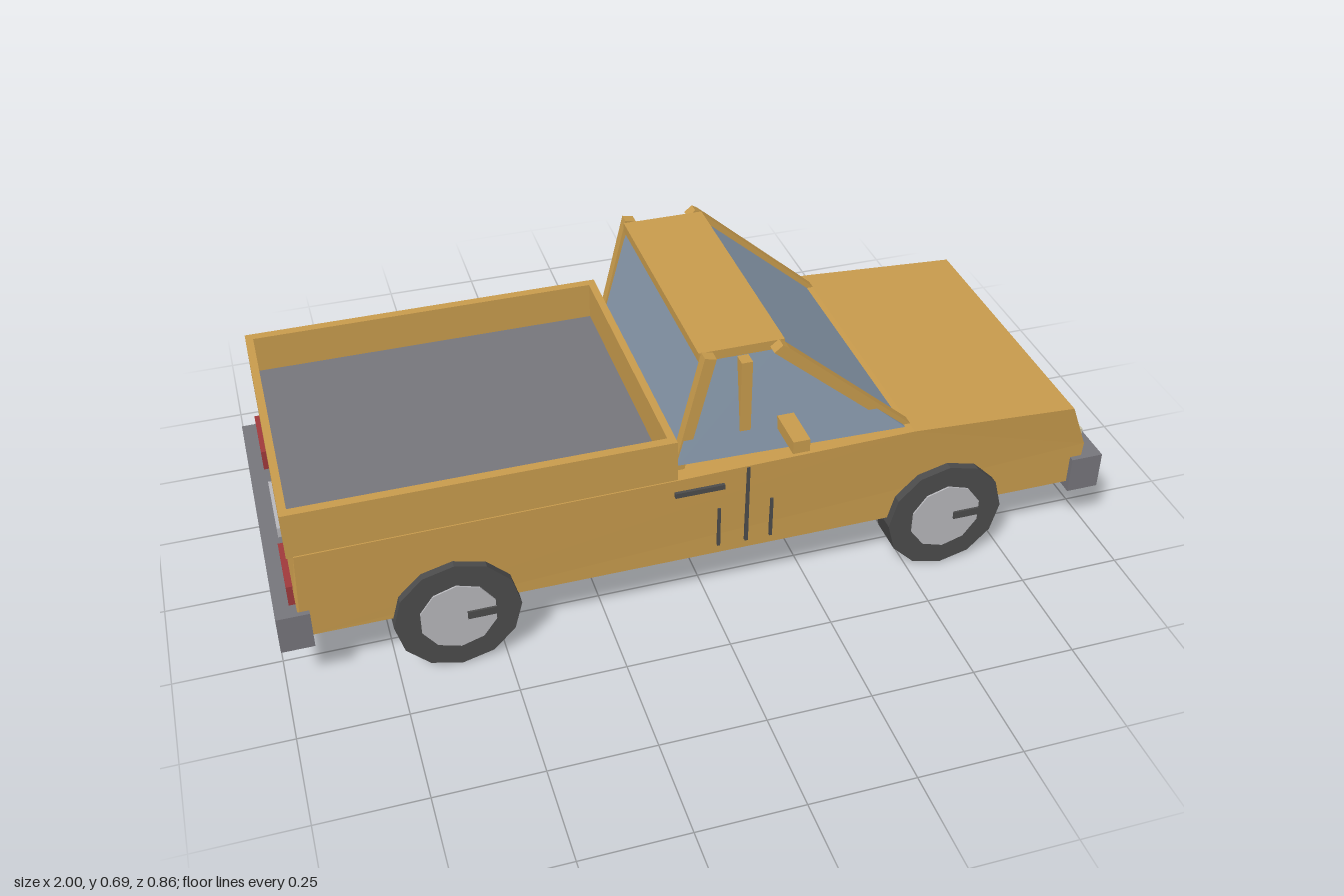
import * as THREE from 'three';

const mat = (name, color) => {
  const m = new THREE.MeshStandardMaterial({ color, flatShading: true });
  m.name = name;
  return m;
};

export function createModel() {
  const paint = mat('tan paint', 0xc99c4d);
  const glass = mat('blue glass', 0x8798aa);
  const grey = mat('bumper grey', 0x77767c);
  const dark = mat('dark rubber', 0x4c4c4c);
  const silver = mat('silver', 0xb8b8bc);
  const lamp = mat('headlight cream', 0xc6c0a5);
  const red = mat('taillight red', 0xa03a3c);

  const truck = new THREE.Group();
  truck.name = 'pickupTruck';

  const add = (name, geometry, material) => {
    const mesh = new THREE.Mesh(geometry, material);
    mesh.name = name;
    truck.add(mesh);
    return mesh;
  };
  // Box given by its lower and upper limits on each axis
  const box = (name, material, [x0, x1], [y0, y1], [z0, z1]) => {
    const g = new THREE.BoxGeometry(x1 - x0, y1 - y0, z1 - z0);
    g.translate((x0 + x1) / 2, (y0 + y1) / 2, (z0 + z1) / 2);
    return add(name, g, material);
  };
  // Same box on both sides of the truck
  const pair = (name, material, xs, ys, [z0, z1]) => {
    box(name, material, xs, ys, [z0, z1]);
    box(name, material, xs, ys, [-z1, -z0]);
  };
  // Side outline extruded across z0..z1
  const plate = (points, z0, z1) => {
    const shape = new THREE.Shape(points.map(([x, y]) => new THREE.Vector2(x, y)));
    const g = new THREE.ExtrudeGeometry(shape, { depth: z1 - z0, bevelEnabled: false });
    return g.translate(0, 0, z0);
  };

  // Lower body with hood, slightly narrower towards the sills
  const body = plate([
    [-0.95, 0.16], [0.945, 0.16], [0.952, 0.27], [0.905, 0.387],
    [0.49, 0.411], [0.1, 0.404], [-0.085, 0.4], [-0.94, 0.392], [-0.952, 0.28],
  ], -0.36, 0.36);
  const p = body.attributes.position;
  for (let i = 0; i < p.count; i++) {
    if (p.getY(i) < 0.3) p.setZ(i, p.getZ(i) * 0.985);
  }
  body.computeVertexNormals();
  add('body', body, paint);

  // Cargo bed
  pair('bedSideWall', paint, [-0.955, -0.085], [0.39, 0.505], [0.335, 0.357]);
  box('tailgate', paint, [-0.955, -0.937], [0.39, 0.505], [-0.335, 0.335]);
  box('bedFrontWall', paint, [-0.103, -0.085], [0.39, 0.505], [-0.335, 0.335]);
  box('bedFloor', grey, [-0.937, -0.103], [0.393, 0.412], [-0.335, 0.335]);

  // Tapered cab glass
  const cab = new THREE.BoxGeometry(1, 1, 1);
  const c = cab.attributes.position;
  for (let i = 0; i < c.count; i++) {
    const top = c.getY(i) > 0, nose = c.getX(i) > 0;
    const x = top ? (nose ? 0.17 : -0.01) : (nose ? 0.475 : -0.078);
    const y = top ? 0.675 : (nose ? 0.411 : 0.424);
    c.setXYZ(i, x, y, Math.sign(c.getZ(i)) * (top ? 0.294 : 0.337));
  }
  cab.computeVertexNormals();
  add('cabGlass', cab, glass);

  // Roof and pillars
  box('roof', paint, [-0.02, 0.18], [0.667, 0.69], [-0.297, 0.297]);
  for (const z of [0.3, -0.327]) {
    add('windshieldPillar', plate(
      [[0.455, 0.411], [0.492, 0.411], [0.18, 0.684], [0.165, 0.694], [0.145, 0.678]], z, z + 0.027), paint);
    add('rearPillar', plate(
      [[-0.086, 0.403], [-0.06, 0.403], [0.012, 0.688], [-0.015, 0.694]], z, z + 0.027), paint);
  }
  pair('doorPillar', paint, [0.07, 0.096], [0.47, 0.665], [0.295, 0.327]);
  pair('sideMirror', paint, [0.16, 0.2], [0.47, 0.502], [0.31, 0.428]);

  // Door seams and handles
  pair('doorSeam', dark, [0.011, 0.018], [0.185, 0.295], [0.352, 0.361]);
  pair('doorSeam', dark, [0.078, 0.086], [0.185, 0.4], [0.353, 0.362]);
  pair('doorSeam', dark, [0.139, 0.146], [0.185, 0.295], [0.352, 0.361]);
  pair('doorHandle', dark, [-0.093, 0.025], [0.355, 0.368], [0.353, 0.367]);

  // Bumpers, lamps, grille and blank plates
  box('frontBumper', grey, [0.92, 1], [0.138, 0.234], [-0.368, 0.368]);
  box('rearBumper', grey, [-1, -0.925], [0.138, 0.234], [-0.368, 0.368]);
  pair('headlight', lamp, [0.93, 0.963], [0.225, 0.288], [0.175, 0.322]);
  box('grille', dark, [0.93, 0.96], [0.225, 0.277], [-0.149, 0.149]);
  box('frontPlate', silver, [0.955, 0.966], [0.22, 0.25], [-0.09, 0.09]);
  pair('taillight', red, [-0.966, -0.94], [0.225, 0.286], [0.175, 0.328]);
  box('rearPlate', silver, [-0.962, -0.94], [0.22, 0.26], [-0.09, 0.09]);

  // Wheels with hubs and a small spoke mark
  for (const x of [-0.605, 0.585]) {
    for (const side of [1, -1]) {
      const cylinder = (name, r, n, z0, z1, material) => {
        const g = new THREE.CylinderGeometry(r, r, z1 - z0, n);
        g.rotateX(Math.PI / 2);
        g.translate(x, 0.148, side * (z0 + z1) / 2);
        add(name, g, material);
      };
      cylinder('tire', 0.146, 12, 0.282, 0.376, dark);
      cylinder('hub', 0.09, 10, 0.279, 0.38, silver);
    }
    pair('hubMark', dark, [x + 0.02, x + 0.085], [0.139, 0.159], [0.375, 0.385]);
  }
  return truck;
}
